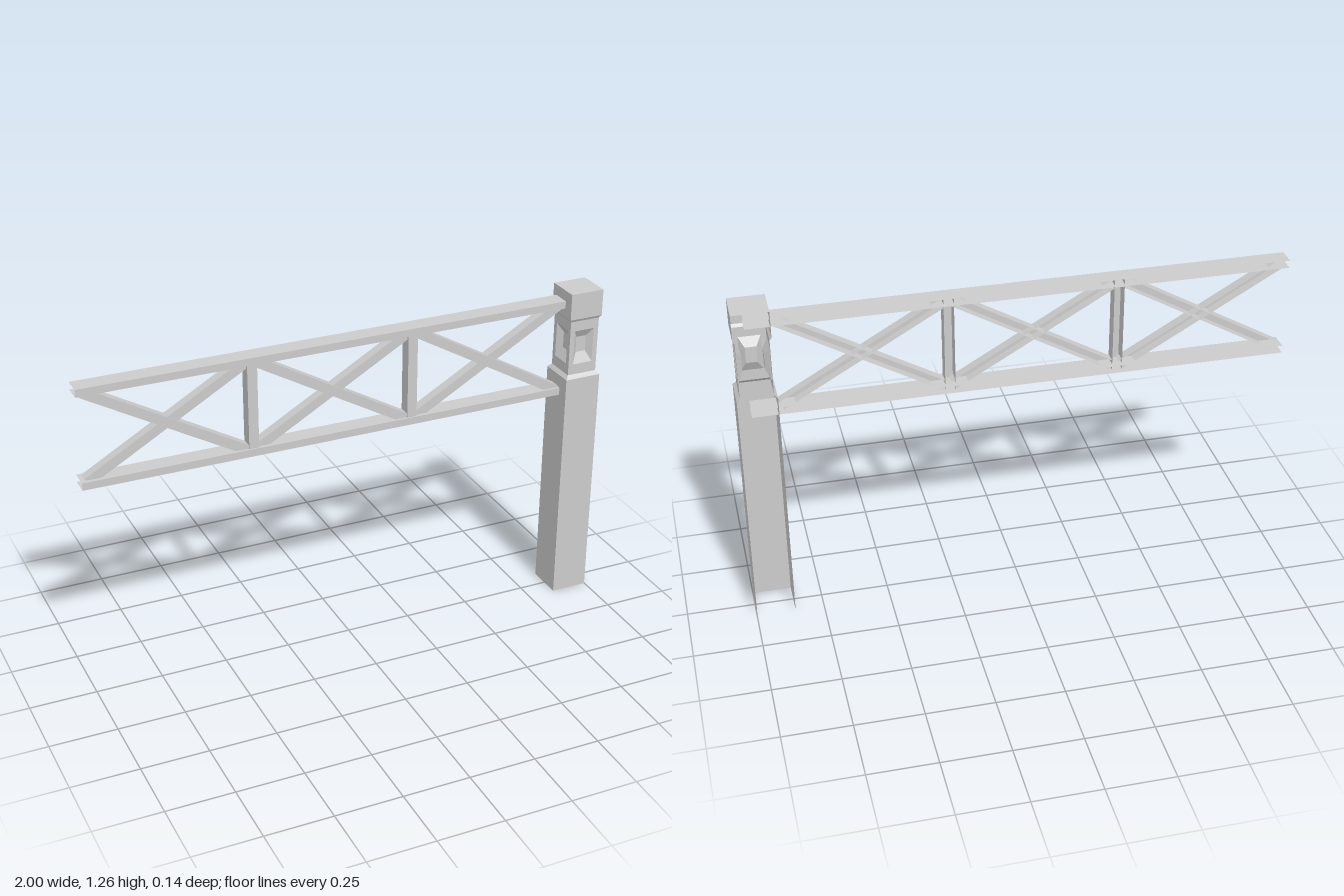
import * as THREE from 'three';

const steel = new THREE.MeshStandardMaterial({ color: 0xcccccc, flatShading: true, side: THREE.DoubleSide });

// Sheet surface from a list of four-cornered faces
function sheet(name, quads) {
  const pos = [];
  for (const [a, b, c, d] of quads) pos.push(...a, ...b, ...c, ...a, ...c, ...d);
  const g = new THREE.BufferGeometry();
  g.setAttribute('position', new THREE.Float32BufferAttribute(pos, 3));
  g.computeVertexNormals();
  const mesh = new THREE.Mesh(g, steel);
  mesh.name = name;
  return mesh;
}

// Rectangle corners, counter-clockwise
const rect = (h, y0, y1, z) => [[-h, y0, z], [h, y0, z], [h, y1, z], [-h, y1, z]];

// Four faces joining an outer rectangle to an inner one
const frame = (o, i) => o.map((p, k) => [p, o[(k + 1) % 4], i[(k + 1) % 4], i[k]]);

// U-channel along x: front web and two flanges, open at the back
function channel(name, length, width, front, back) {
  const l = length / 2, w = width / 2;
  return sheet(name, [
    rect(l, -w, w, front),
    [[-l, w, front], [l, w, front], [l, w, back], [-l, w, back]],
    [[-l, -w, back], [l, -w, back], [l, -w, front], [-l, -w, front]],
  ]);
}

// One side of the post, with a bevelled niche in the neck
function postWall(name) {
  const levels = [[0, 0.071], [0.918, 0.071], [0.932, 0.059], [1.145, 0.059], [1.156, 0.066], [1.257, 0.066]];
  const quads = [];
  for (let i = 0; i < levels.length - 1; i++) {
    const [y0, h0] = levels[i], [y1, h1] = levels[i + 1];
    if (i === 2) {
      const niche = rect(0.04, 0.973, 1.106, h0);
      const floor = rect(0.02, 1.012, 1.073, h0 - 0.02);
      quads.push(...frame(rect(h0, y0, y1, h0), niche), ...frame(niche, floor), floor);
    } else {
      quads.push([[-h0, y0, h0], [h0, y0, h0], [h1, y1, h1], [-h1, y1, h1]]);
    }
  }
  return sheet(name, quads);
}

export function createModel() {
  const model = new THREE.Group();
  model.name = 'trussGantry';

  // Post: three walls and a top, open at the back
  const post = new THREE.Group();
  post.name = 'post';
  post.position.x = 0.928;
  ['postFront', 'postLeft', 'postRight'].forEach((name, i) => {
    const wall = postWall(name);
    wall.rotation.y = [0, Math.PI / 2, -Math.PI / 2][i];
    post.add(wall);
  });
  const h = 0.066, top = 1.257;
  post.add(sheet('postTop', [[[-h, top, h], [h, top, h], [h, top, -h], [-h, top, -h]]]));
  model.add(post);

  // Chords running into the post
  const truss = new THREE.Group();
  truss.name = 'truss';
  [['topChord', 1.203], ['bottomChord', 0.854]].forEach(([name, y]) => {
    const chord = channel(name, 1.95, 0.028, 0.025, -0.045);
    chord.position.set(-0.025, y, 0);
    truss.add(chord);
  });

  // Uprights between the bays
  for (const x of [-0.372, 0.243]) {
    const upright = channel('upright', 0.365, 0.037, 0.02, -0.028);
    upright.rotation.z = Math.PI / 2;
    upright.position.set(x, 1.028, 0);
    truss.add(upright);
  }

  // Crossed braces, one pair per bay
  for (const x of [-0.682, -0.065, 0.55]) {
    for (const s of [-1, 1]) {
      const brace = channel('crossBrace', 0.68, 0.036, 0.013 - s * 0.002, -0.025 - s * 0.002);
      brace.rotation.z = s * 0.52;
      brace.position.set(x, 1.028, 0);
      truss.add(brace);
    }
  }
  model.add(truss);
  return model;
}
